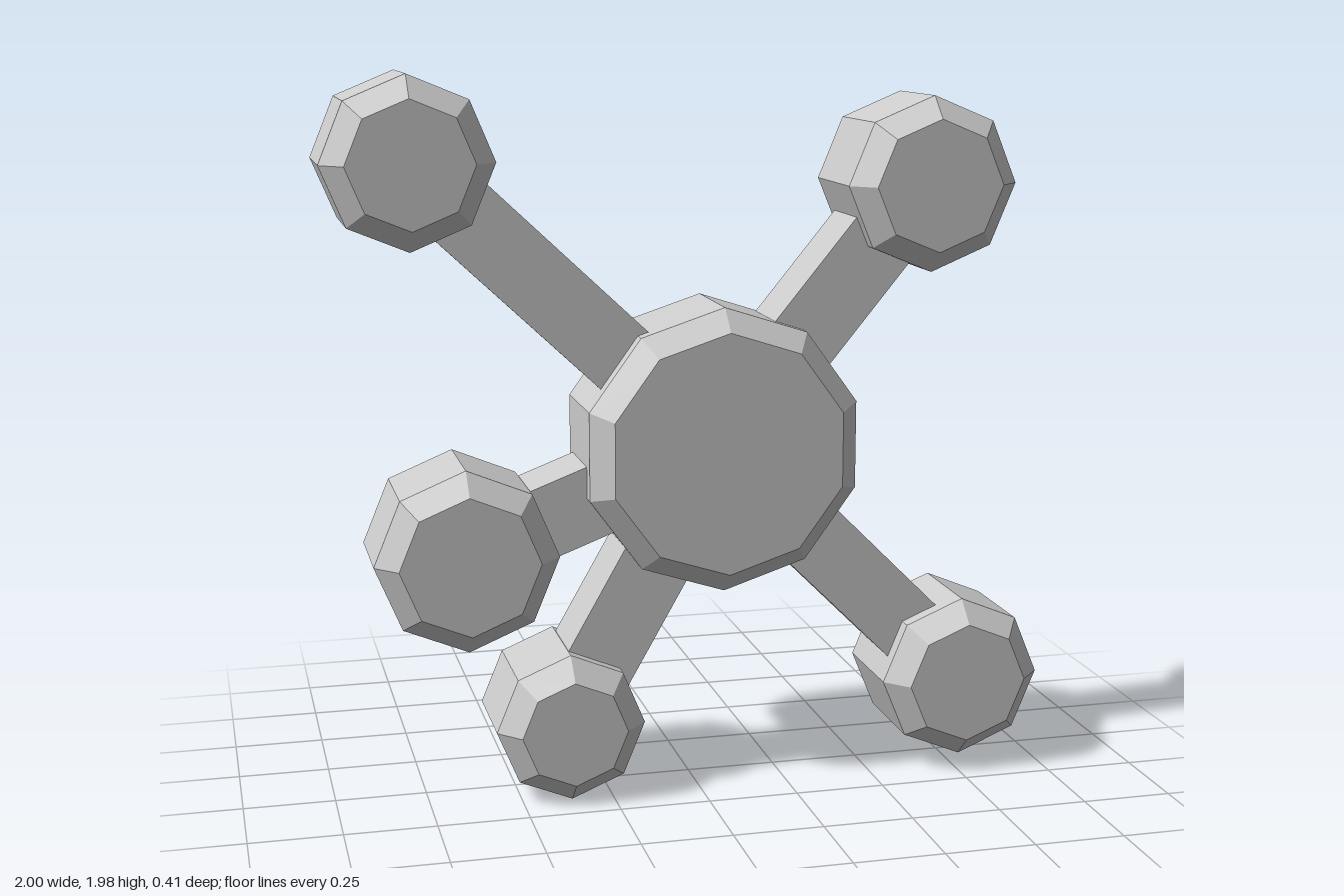
import * as THREE from 'three';

const HALF_DEPTH = 0.206;   // half thickness of every disc
const CHAMFER = 0.06;       // bevel around the rims
const ARM = 0.2;            // square arm section

const material = new THREE.MeshStandardMaterial({ color: 0xcccccc, flatShading: true });

// Bevelled polygonal disc facing z, with one corner pointing up
function disc(name, x, y, radius, sides) {
  const profile = [
    [0, -HALF_DEPTH], [radius - CHAMFER, -HALF_DEPTH], [radius, -HALF_DEPTH + CHAMFER + 0.005],
    [radius, HALF_DEPTH - CHAMFER - 0.005], [radius - CHAMFER, HALF_DEPTH], [0, HALF_DEPTH],
  ].map(([r, h]) => new THREE.Vector2(r, h));
  const geometry = new THREE.LatheGeometry(profile, sides).rotateX(Math.PI / 2);
  const mesh = new THREE.Mesh(geometry, material);
  mesh.name = name;
  mesh.position.set(x, y, 0);
  return mesh;
}

// Square bar running between two disc centres
function arm(name, from, to) {
  const dx = to.x - from.x, dy = to.y - from.y;
  const mesh = new THREE.Mesh(new THREE.BoxGeometry(Math.hypot(dx, dy), ARM, ARM), material);
  mesh.name = name;
  mesh.position.set((from.x + to.x) / 2, (from.y + to.y) / 2, 0);
  mesh.rotation.z = Math.atan2(dy, dx);
  return mesh;
}

export function createModel() {
  const group = new THREE.Group();
  group.name = 'hubAndNodes';

  // Central ten-sided hub
  const hub = disc('hub', 0.067, 0.965, 0.393, 10);
  group.add(hub);

  // Outer eight-sided nodes, each joined to the hub by an arm
  const nodes = [
    ['upperRight', -0.772, 1.757, 0.228],
    ['upperLeft', 0.65, 1.675, 0.239],
    ['middleRight', -0.64, 0.697, 0.25],
    ['lowerRight', -0.364, 0.211, 0.206],
    ['lowerLeft', 0.765, 0.27, 0.23],
  ];
  for (const [name, x, y, radius] of nodes) {
    const node = disc(name + 'Node', x, y, radius, 8);
    group.add(node, arm(name + 'Arm', hub.position, node.position));
  }
  return group;
}
